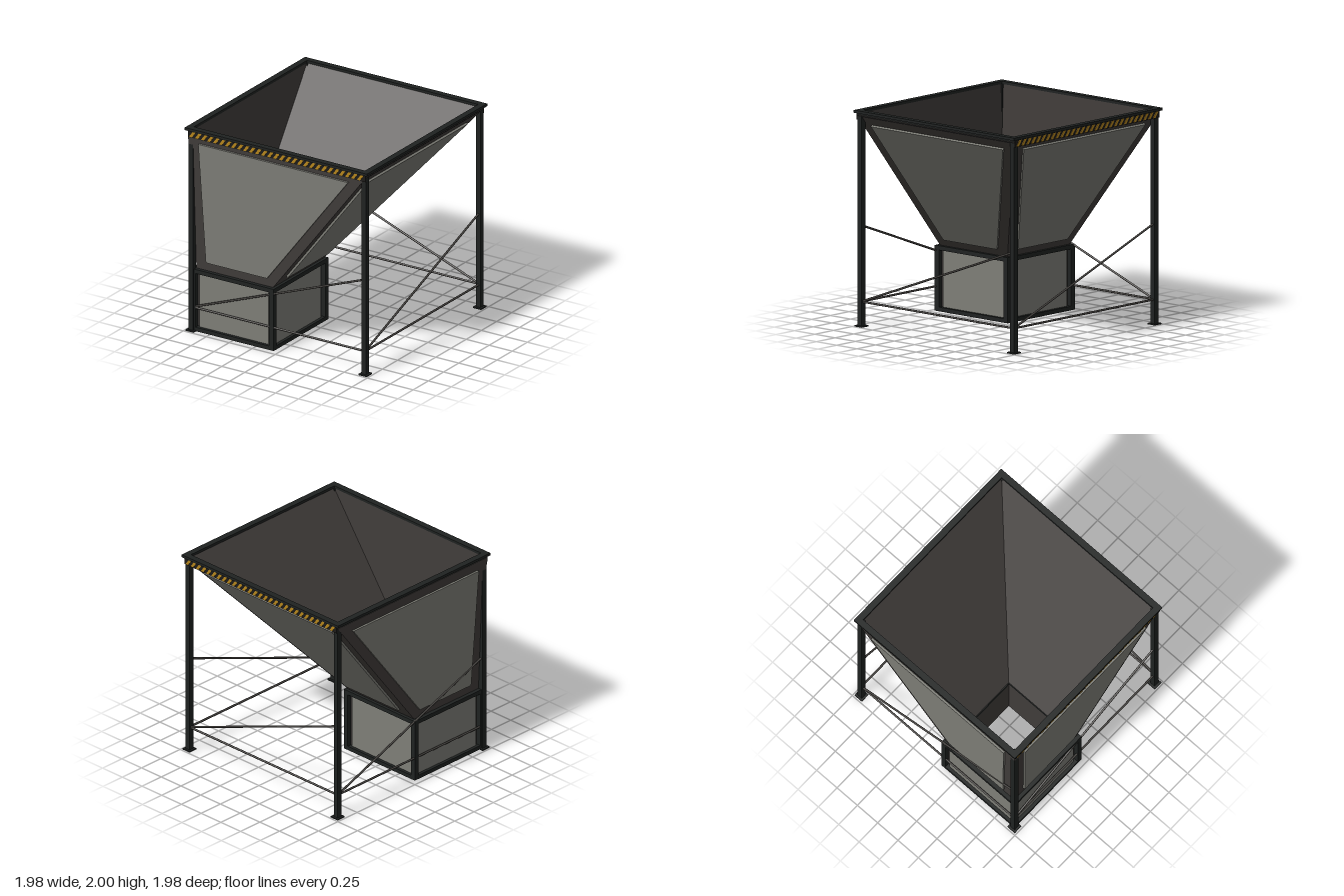
import * as THREE from 'three';

const mat = (color) => new THREE.MeshStandardMaterial({ color, roughness: 0.8 });
const frameMat = mat(0x1f2221), wallMat = mat(0x403c3a), panelMat = mat(0x7e7e77);
const rodMat = mat(0x45423f), yellowMat = mat(0xb5851c), blackMat = mat(0x1c1b19);
const V = (x, y, z) => new THREE.Vector3(x, y, z);

function add(parent, name, geometry, material, x = 0, y = 0, z = 0) {
  const mesh = new THREE.Mesh(geometry, material);
  mesh.name = name;
  mesh.position.set(x, y, z);
  parent.add(mesh);
  return mesh;
}

// box given by its two extreme corners
function block(parent, name, material, x0, x1, y0, y1, z0, z1) {
  return add(parent, name, new THREE.BoxGeometry(x1 - x0, y1 - y0, z1 - z0), material,
    (x0 + x1) / 2, (y0 + y1) / 2, (z0 + z1) / 2);
}

// flat-faced skin through four-cornered rings
function loft(rings, capEnd = false) {
  const pos = [];
  const quad = (a, b, c, d) => [a, b, c, a, c, d].forEach((p) => pos.push(p.x, p.y, p.z));
  for (let r = 0; r < rings.length - 1; r++) {
    for (let i = 0; i < 4; i++) {
      const j = (i + 1) % 4;
      quad(rings[r][i], rings[r][j], rings[r + 1][j], rings[r + 1][i]);
    }
  }
  if (capEnd) quad(...rings[rings.length - 1]);
  const g = new THREE.BufferGeometry();
  g.setAttribute('position', new THREE.Float32BufferAttribute(pos, 3));
  g.computeVertexNormals();
  return g;
}

// square ring, counter-clockwise from above, starting at the front -x corner
const ring = (cx, cz, h, y) =>
  [V(cx - h, y, cz + h), V(cx + h, y, cz + h), V(cx + h, y, cz - h), V(cx - h, y, cz - h)];

// round bar between two points
function rod(parent, name, a, b, radius) {
  const m = add(parent, name, new THREE.CylinderGeometry(radius, radius, a.distanceTo(b), 8), rodMat);
  m.position.copy(a).lerp(b, 0.5);
  m.quaternion.setFromUnitVectors(V(0, 1, 0), b.clone().sub(a).normalize());
}

function makeHopper() {
  const g = new THREE.Group();
  g.name = 'hopper';
  const low = ring(-0.5, 0.5, 0.412, 0.6), high = ring(0, 0, 0.97, 1.955);
  const inLow = ring(-0.5, 0.5, 0.38, 0.6), inHigh = ring(0, 0, 0.93, 1.975);
  add(g, 'hopperWalls', loft([low, high, inHigh, inLow, low]), wallMat);

  // raised plate on each sloping wall
  for (let i = 0; i < 4; i++) {
    const j = (i + 1) % 4;
    const along = low[j].clone().sub(low[i]).normalize();
    const n = along.clone().cross(high[i].clone().sub(low[i])).normalize();
    const at = (v, a, b, margin) => a.clone().lerp(b, v).addScaledVector(along, margin);
    const base = [
      at(0.07, low[i], high[i], 0.12), at(0.07, low[j], high[j], -0.12),
      at(0.935, low[j], high[j], -0.12), at(0.935, low[i], high[i], 0.12),
    ];
    const shifted = (d) => base.map((p) => p.clone().addScaledVector(n, d));
    add(g, 'hopperPlate', loft([shifted(-0.005), shifted(0.02)], true), panelMat);
  }
  return g;
}

function makeOutletBox() {
  const g = new THREE.Group();
  g.name = 'outletBox';
  g.position.set(-0.5, 0, 0.5);
  for (let i = 0; i < 4; i++) {
    const side = new THREE.Group();
    side.name = 'boxSide';
    side.rotation.y = (i * Math.PI) / 2;
    g.add(side);
    block(side, 'boxWall', wallMat, -0.405, 0.405, 0.02, 0.59, 0.38, 0.405);
    block(side, 'boxPlate', panelMat, -0.375, 0.375, 0.04, 0.575, 0.4, 0.42);
    block(side, 'boxPost', frameMat, 0.4, 0.45, 0.004, 0.61, 0.4, 0.45);
    block(side, 'boxBottomRail', frameMat, -0.4, 0.4, 0.004, 0.042, 0.4, 0.45);
    block(side, 'boxTopRail', frameMat, -0.4, 0.4, 0.57, 0.61, 0.38, 0.45);
  }
  return g;
}

function makeStand() {
  const g = new THREE.Group();
  g.name = 'stand';
  const c = 0.94;
  for (let i = 0; i < 4; i++) {
    const side = new THREE.Group();
    side.name = 'standSide';
    side.rotation.y = (i * Math.PI) / 2;
    g.add(side);
    block(side, 'leg', frameMat, c - 0.025, c + 0.025, 0, 1.975, c - 0.025, c + 0.025);
    block(side, 'foot', frameMat, c - 0.045, c + 0.045, 0, 0.012, c - 0.045, c + 0.045);
    rod(side, 'lowerTie', V(-c, 0.23, c), V(c, 0.23, c), 0.01);
    rod(side, 'diagonalBrace', V(-c, 0.23, c), V(c, 0.935, c), 0.01);
    // top rim: flat flange above a narrow rail
    block(side, 'rimFlange', frameMat, -0.93, 0.99, 1.975, 2, 0.93, 0.99);
    block(side, 'rimRail', frameMat, -0.95, 0.95, 1.945, 1.975, 0.935, 0.965);
  }
  return g;
}

// striped warning strip under the rim
function makeWarningStrip() {
  const g = new THREE.Group();
  g.name = 'warningStrip';
  block(g, 'stripBacking', blackMat, -0.965, 0.965, 1.91, 1.975, 0.965, 0.978);
  const s = new THREE.Shape([[0, 0], [0.032, 0], [0.072, 0.055], [0.04, 0.055]]
    .map(([x, y]) => new THREE.Vector2(x, y)));
  const stripe = new THREE.ExtrudeGeometry(s, { depth: 0.008, bevelEnabled: false });
  for (let i = 0; i < 29; i++) {
    add(g, 'yellowStripe', stripe, yellowMat, -0.95 + i * 0.0652, 1.915, 0.974);
  }
  return g;
}

export function createModel() {
  const model = new THREE.Group();
  model.name = 'feedHopper';
  const backStrip = makeWarningStrip();
  backStrip.rotation.y = Math.PI;
  model.add(makeHopper(), makeOutletBox(), makeStand(), makeWarningStrip(), backStrip);
  return model;
}
